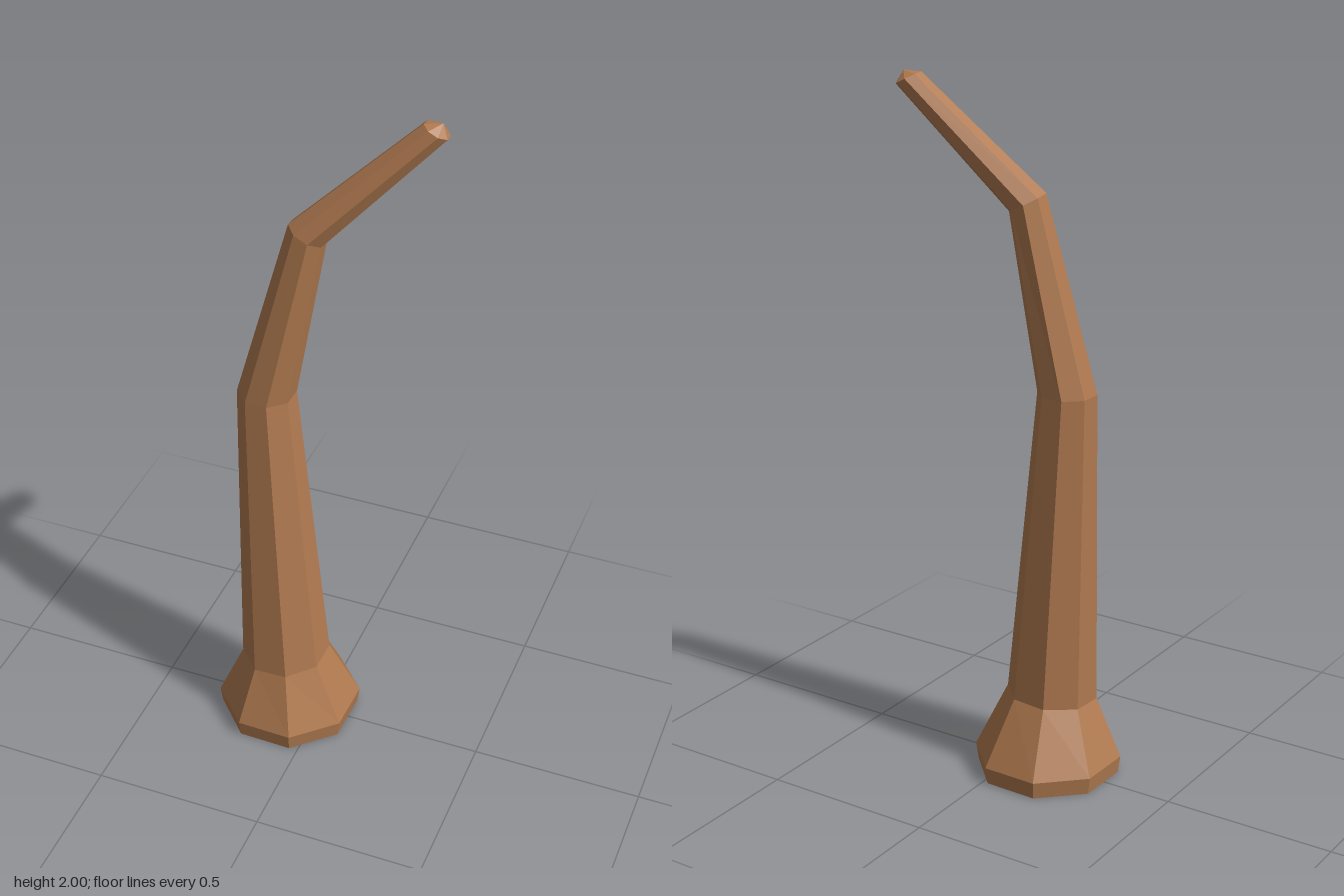
import * as THREE from 'three';

const SIDES = 8;
const PHASE = THREE.MathUtils.degToRad(24);

// Rings from foot to tip: centre, radius, direction the ring faces
const RINGS = [
  { at: [-0.1, 0, 0], r: 0.206, up: [0, 1, 0] },
  { at: [-0.1, 0.05, 0], r: 0.213, up: [0, 1, 0] },
  { at: [-0.105, 0.232, 0.014], r: 0.13, up: [-0.06, 1, 0.04] },
  { at: [-0.163, 1.148, -0.01], r: 0.083, up: [0, 1, 0] },
  { at: [-0.05, 1.665, -0.034], r: 0.057, up: [0.45, 0.9, -0.13] },
  { at: [0.263, 1.98, -0.13], r: 0.039, up: [0.42, 0.88, -0.1] },
];
const TIP = [0.277, 2, -0.133];

// Corners of one ring
function ringPoints({ at, r, up }) {
  const turn = new THREE.Quaternion().setFromUnitVectors(
    new THREE.Vector3(0, 1, 0), new THREE.Vector3(...up).normalize());
  const centre = new THREE.Vector3(...at);
  return Array.from({ length: SIDES }, (_, i) => {
    const a = PHASE + (i / SIDES) * Math.PI * 2;
    return new THREE.Vector3(Math.cos(a) * r, 0, Math.sin(a) * r)
      .applyQuaternion(turn).add(centre);
  });
}

// Faceted skin through all rings, closed at both ends
function trunkGeometry() {
  const rings = RINGS.map(ringPoints);
  const foot = new THREE.Vector3(...RINGS[0].at);
  const tip = new THREE.Vector3(...TIP);
  const last = rings[rings.length - 1];
  const points = [];
  for (let i = 0; i < SIDES; i++) {
    const j = (i + 1) % SIDES;
    points.push(foot, rings[0][i], rings[0][j]);
    for (let k = 0; k < rings.length - 1; k++) {
      const low = rings[k], high = rings[k + 1];
      points.push(low[i], high[i], high[j], low[i], high[j], low[j]);
    }
    points.push(last[i], tip, last[j]);
  }
  const geometry = new THREE.BufferGeometry().setFromPoints(points);
  geometry.computeVertexNormals();
  return geometry;
}

export function createModel() {
  const group = new THREE.Group();
  group.name = 'bentTrunk';
  const bark = new THREE.MeshStandardMaterial({ color: 0xb07a50, flatShading: true });
  const trunk = new THREE.Mesh(trunkGeometry(), bark);
  trunk.name = 'trunk';
  group.add(trunk);
  return group;
}
